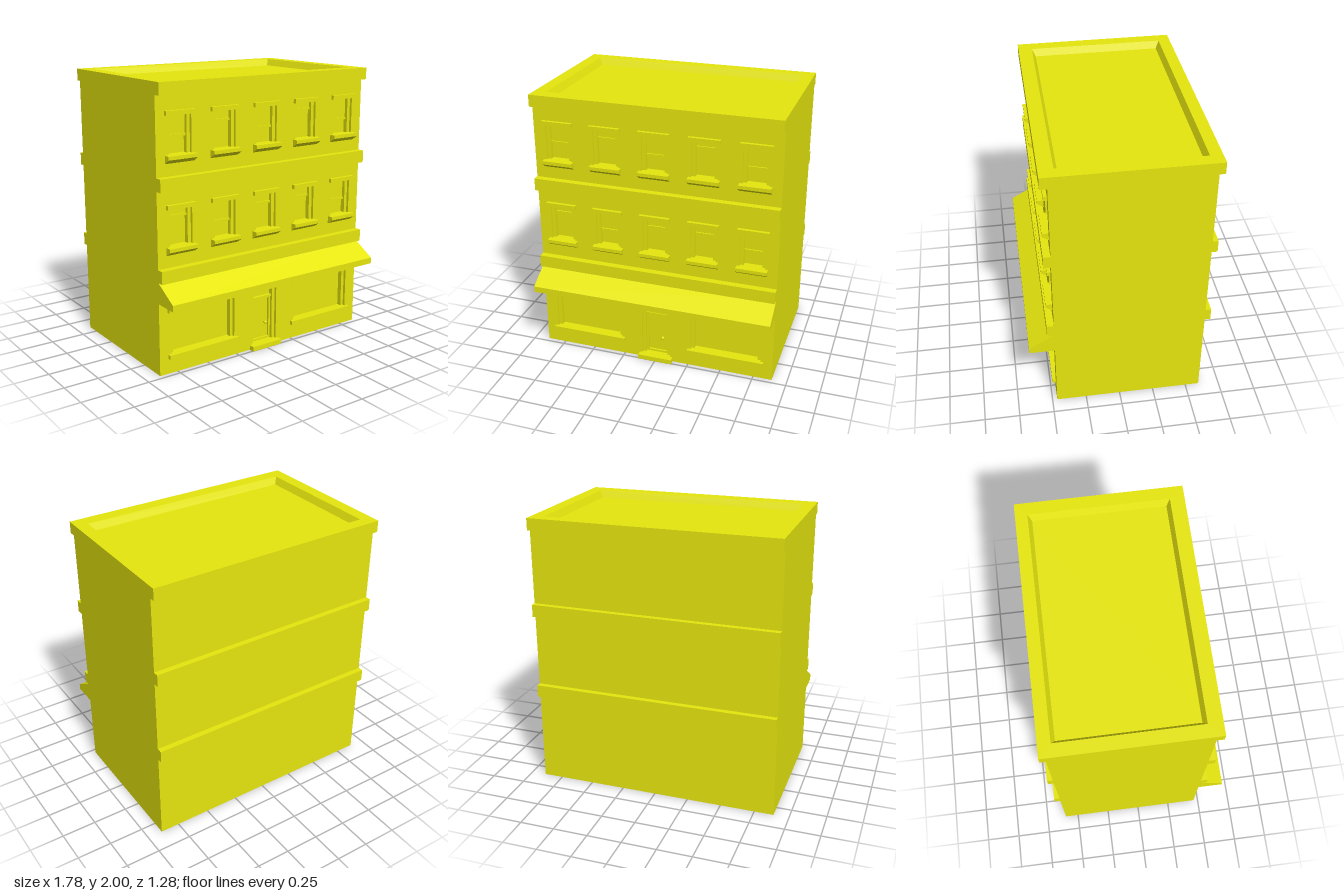
import * as THREE from 'three';

const material = new THREE.MeshStandardMaterial({ color: 0xe6e60e, flatShading: true });
const knobMaterial = new THREE.MeshStandardMaterial({ color: 0xe6e60e });
const HALF = 0.89;      // half width of the building
const WALL = 0.465;     // front wall plane
const GLASS = 0.41;     // plane at the back of the window openings
const BACK = -0.6;

function add(parent, name, geometry, mat = material) {
  const mesh = new THREE.Mesh(geometry, mat);
  mesh.name = name;
  parent.add(mesh);
  return mesh;
}

// Box given by its limits on each axis
function box(parent, name, x0, x1, y0, y1, z0, z1) {
  const mesh = add(parent, name, new THREE.BoxGeometry(x1 - x0, y1 - y0, z1 - z0));
  mesh.position.set((x0 + x1) / 2, (y0 + y1) / 2, (z0 + z1) / 2);
  return mesh;
}

function rect(Type, x0, x1, y0, y1) {
  const p = new Type();
  p.moveTo(x0, y0).lineTo(x1, y0).lineTo(x1, y1).lineTo(x0, y1).closePath();
  return p;
}

// Prism along x from a profile of [z, y] points
function prism(parent, name, profile, x0, x1) {
  const shape = new THREE.Shape(profile.map(([z, y]) => new THREE.Vector2(-z, y)));
  const g = new THREE.ExtrudeGeometry(shape, { depth: x1 - x0, bevelEnabled: false });
  g.rotateY(Math.PI / 2).translate(x0, 0, 0);
  return add(parent, name, g);
}

// Two jambs set back in an opening
function jambs(parent, x0, x1, y0, y1) {
  box(parent, 'jamb', x0, x0 + 0.025, y0, y1, GLASS - 0.005, WALL - 0.02);
  box(parent, 'jamb', x1 - 0.025, x1, y0, y1, GLASS - 0.005, WALL - 0.02);
}

function sashWindow(x, y, rail) {
  const g = new THREE.Group();
  g.name = 'sashWindow';
  const w = 0.0925, top = y + 0.26;
  jambs(g, x - w, x + w, y, top);
  box(g, 'lintel', x - 0.112, x + 0.112, top, top + 0.03, WALL - 0.01, 0.49);
  prism(g, 'sill', [[WALL - 0.01, y], [WALL - 0.01, y - 0.055], [WALL, y - 0.055],
    [0.51, y - 0.025], [0.51, y]], x - 0.112, x + 0.112);
  // Upper pane stands a little forward, with its rail along the bottom
  box(g, 'upperSash', x - w + 0.025, x + w - 0.025, rail, top, GLASS - 0.005, GLASS + 0.01);
  box(g, 'meetingRail', x - w + 0.025, x + w - 0.025, rail - 0.008, rail + 0.008, GLASS - 0.005, GLASS + 0.02);
  return g;
}

function shopWindow(side) {
  const g = new THREE.Group();
  g.name = side > 0 ? 'leftShopWindow' : 'rightShopWindow';
  const c = side * 0.535;
  jambs(g, c - 0.265, c + 0.265, 0.14, 0.445);
  box(g, 'lintel', c - 0.288, c + 0.288, 0.445, 0.475, WALL - 0.01, 0.49);
  box(g, 'sill', c - 0.288, c + 0.288, 0.11, 0.14, WALL - 0.01, 0.49);
  return g;
}

function door() {
  const g = new THREE.Group();
  g.name = 'door';
  jambs(g, -0.11, 0.11, 0.035, 0.445);
  box(g, 'lintel', -0.13, 0.13, 0.445, 0.475, WALL - 0.01, 0.49);
  box(g, 'step', -0.13, 0.13, 0, 0.035, WALL - 0.01, 0.508);
  box(g, 'transomBar', -0.085, 0.085, 0.362, 0.378, GLASS - 0.005, GLASS + 0.025);
  // Leaf frame with a sunken panel
  const leaf = rect(THREE.Shape, -0.085, 0.085, 0.035, 0.365);
  leaf.holes.push(rect(THREE.Path, -0.07, 0.07, 0.05, 0.362));
  const frame = add(g, 'doorFrame', new THREE.ExtrudeGeometry(leaf, { depth: 0.02, bevelEnabled: false }));
  frame.position.z = GLASS - 0.005;
  const knob = add(g, 'doorKnob', new THREE.SphereGeometry(0.012, 16, 12), knobMaterial);
  knob.position.set(0.04, 0.165, GLASS + 0.018);
  const stem = add(g, 'knobStem', new THREE.CylinderGeometry(0.006, 0.006, 0.02, 12), knobMaterial);
  stem.rotation.x = Math.PI / 2;
  stem.position.set(0.04, 0.165, GLASS + 0.005);
  return g;
}

// Ring around the roof whose inner walls slope in towards the floor
function parapet(parent) {
  const ring = rect(THREE.Shape, -HALF, HALF, -0.515, 0.64);
  ring.holes.push(rect(THREE.Path, -0.8, 0.8, -0.415, 0.555));
  const g = new THREE.ExtrudeGeometry(ring, { depth: 0.05, bevelEnabled: false });
  g.rotateX(-Math.PI / 2).translate(0, 1.95, 0);
  const p = g.attributes.position;
  for (let i = 0; i < p.count; i++) {
    if (p.getY(i) < 1.96 && Math.abs(p.getX(i)) < 0.85) {
      p.setX(i, p.getX(i) - 0.025 * Math.sign(p.getX(i)));
      p.setZ(i, p.getZ(i) - 0.025 * Math.sign(p.getZ(i)));
    }
  }
  g.computeVertexNormals();
  add(parent, 'parapet', g);
}

export function createModel() {
  const model = new THREE.Group();
  model.name = 'building';

  // Main block, and a front wall with openings
  box(model, 'mainBlock', -HALF, HALF, 0, 1.915, BACK, GLASS);
  const wall = rect(THREE.Shape, -HALF, HALF, 0, 1.915);
  const columns = [-0.71, -0.355, 0, 0.355, 0.71];
  const floors = [
    { y: 0.9, rails: [1.1, 1.01, 1.085, 1.085, 1.01] },
    { y: 1.52, rails: [1.64, 1.71, 1.63, 1.725, 1.625] },
  ];
  for (const { y, rails } of floors) {
    columns.forEach((x, i) => {
      wall.holes.push(rect(THREE.Path, x - 0.0925, x + 0.0925, y, y + 0.26));
      model.add(sashWindow(x, y, rails[i]));
    });
  }
  for (const side of [-1, 1]) {
    wall.holes.push(rect(THREE.Path, side * 0.535 - 0.265, side * 0.535 + 0.265, 0.14, 0.445));
    model.add(shopWindow(side));
  }
  wall.holes.push(rect(THREE.Path, -0.11, 0.11, 0.035, 0.445));
  model.add(door());
  const front = add(model, 'frontWall',
    new THREE.ExtrudeGeometry(wall, { depth: WALL - GLASS, bevelEnabled: false }));
  front.position.z = GLASS;

  // Floor bands on the front and back
  for (const y of [0.67, 1.29]) {
    box(model, 'frontBand', -HALF, HALF, y, y + 0.09, WALL, 0.515);
    box(model, 'backBand', -HALF, HALF, y, y + 0.09, -0.64, BACK);
  }

  // Cornice, roof floor and parapet
  box(model, 'cornice', -HALF, HALF, 1.915, 1.95, -0.64, 0.515);
  parapet(model);

  // Sloping awning over the shop front
  prism(model, 'awning', [[WALL, 0.67], [WALL, 0.52], [0.645, 0.52], [0.645, 0.565]], -HALF, HALF);
  return model;
}
